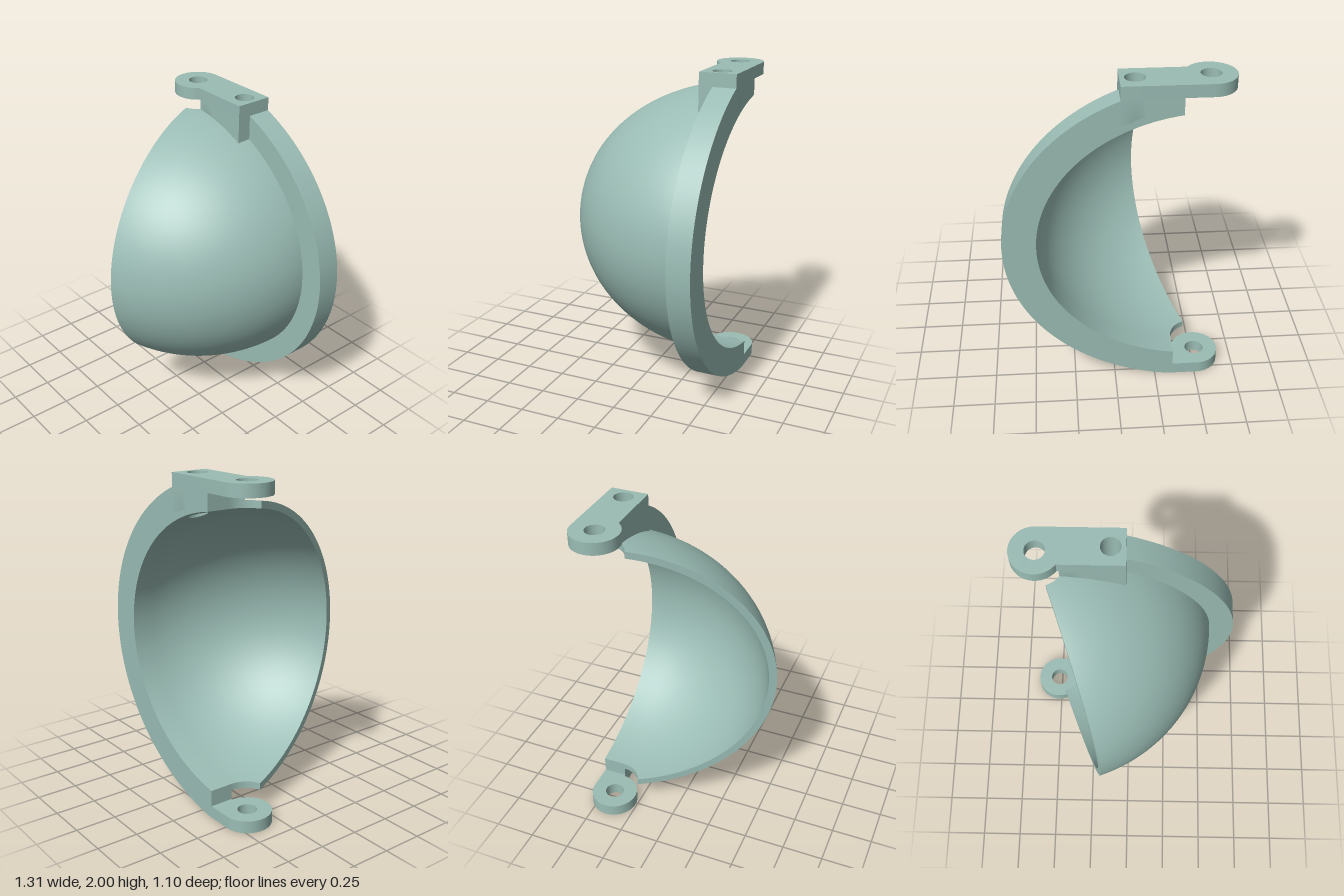
import * as THREE from 'three';
import { toCreasedNormals } from 'three/addons/utils/BufferGeometryUtils.js';

const HX = -0.51, HZ = -0.405;            // vertical hinge axis
const BACK = -0.55, CLEAR = 0.15;         // back plane, clearance radius round the hinge
const OUT = { a: 1.015, b: 0.877 }, INN = { a: 0.967, b: 0.835 };
const PIN = { x: -0.105, z: -0.435, r: 0.058 };

// height of the dome above mid level at a distance from the axis
const rise = (e, r) => e.b * Math.sqrt(Math.max(0, 1 - (r / e.a) ** 2));

// ellipsoidal shell segment, running straight back behind the hinge axis
function shellGeometry() {
  const straight = 8, sweep = 48, rows = 120, cols = straight + sweep;
  const vMax = Math.acos(CLEAR / OUT.a), angle = 70 * Math.PI / 180;
  const n = (cols + 1) * (rows + 1);
  const pos = [], inHole = [];
  for (const e of [OUT, INN]) {
    for (let i = 0; i <= cols; i++) {
      const th = Math.max(0, i - straight) / sweep * angle;
      const dz = Math.max(0, straight - i) / straight * (BACK - HZ);
      for (let j = 0; j <= rows; j++) {
        const v = (2 * j / rows - 1) * vMax, c = Math.cos(v);
        const r = e === OUT ? OUT.a * c : OUT.a * c - (OUT.a - INN.a) * c ** 3;
        let x = HX + r * Math.cos(th), z = HZ + r * Math.sin(th) + dz;
        // push points inside the pin hole out to its rim
        const dx = x - PIN.x, dp = z - PIN.z, d = Math.hypot(dx, dp);
        const inside = v > 0 && d < PIN.r;
        if (inside) {
          x = PIN.x + dx / (d || 1) * PIN.r;
          z = PIN.z + dp / (d || 1) * PIN.r;
        }
        if (e === OUT) inHole.push(inside);
        const rr = inside ? Math.hypot(x - HX, Math.max(0, z - HZ)) : r;
        pos.push(x, 1 + Math.sign(v) * rise(e, rr), z);
      }
    }
  }
  const index = [], edges = new Set();
  const quad = (a, b, c, d) => index.push(a, b, c, a, c, d);
  for (let i = 0; i < cols; i++) for (let j = 0; j < rows; j++) {
    const a = i * (rows + 1) + j, q = [a, a + 1, a + rows + 2, a + rows + 1];
    if (q.every(k => inHole[k])) continue;
    quad(...q);
    quad(q[3] + n, q[2] + n, q[1] + n, q[0] + n);
    q.forEach((k, m) => edges.add(k * n + q[(m + 1) % 4]));
  }
  // close every open edge between the outer and inner skins
  for (const key of edges) {
    const a = Math.floor(key / n), b = key % n;
    if (!edges.has(b * n + a)) quad(b, a, a + n, b + n);
  }
  const g = new THREE.BufferGeometry();
  g.setAttribute('position', new THREE.Float32BufferAttribute(pos, 3));
  g.setIndex(index);
  return toCreasedNormals(g, 0.6);
}

// plan outline (x, -z) raised from y0 to y1
function plan(shape, y0, y1) {
  const g = new THREE.ExtrudeGeometry(shape, { depth: y1 - y0, bevelEnabled: false, curveSegments: 24 });
  g.rotateX(-Math.PI / 2);
  g.translate(0, y0, 0);
  return g;
}

function hole(shape, x, z, r) {
  shape.holes.push(new THREE.Path().absarc(x, -z, r, 0, Math.PI * 2, true));
}

// half-ring flange at the back of the shell
function flangeGeometry() {
  const pts = [], steps = 72;
  const arc = (a, b, x0, x1) => {
    const t0 = -Math.acos(x0 / a), t1 = Math.acos(x1 / a), list = [];
    for (let k = 0; k <= steps; k++) {
      const t = t0 + (t1 - t0) * k / steps;
      list.push(new THREE.Vector2(HX + a * Math.cos(t),
        THREE.MathUtils.clamp(1 + b * Math.sin(t), 0, 2)));
    }
    return list;
  };
  pts.push(...arc(1.165, 1.012, CLEAR, 0.49), ...arc(1.0, 0.865, CLEAR, 0.49).reverse());
  const g = new THREE.ExtrudeGeometry(new THREE.Shape(pts), { depth: HZ - BACK, bevelEnabled: false });
  g.translate(0, 0, BACK);
  return g;
}

// block standing on the shell, its underside following the dome
function blockGeometry() {
  const pts = [], seg = 12;
  const line = (x0, y0, x1, y1) => {
    for (let k = 0; k < seg; k++)
      pts.push(new THREE.Vector2(x0 + (x1 - x0) * k / seg, y0 + (y1 - y0) * k / seg));
  };
  const t0 = -Math.asin(0.085 / CLEAR), cx = HX + CLEAR * Math.cos(t0);
  line(-0.02, 0.55, HX + CLEAR, 0.55);
  line(HX + CLEAR, 0.55, HX + CLEAR, -HZ);
  for (let k = 0; k < seg; k++) {
    const t = t0 * k / seg;
    pts.push(new THREE.Vector2(HX + CLEAR * Math.cos(t), -HZ + CLEAR * Math.sin(t)));
  }
  line(cx, 0.32, -0.02, 0.32);
  line(-0.02, 0.32, -0.02, 0.55);
  const shape = new THREE.Shape(pts);
  hole(shape, PIN.x, PIN.z, PIN.r);
  const g = plan(shape, 1.5, 1.925), p = g.attributes.position;
  for (let i = 0; i < p.count; i++) {
    if (p.getY(i) > 1.6) continue;
    const r = Math.hypot(p.getX(i) - HX, Math.max(0, p.getZ(i) - HZ));
    p.setY(i, 1 + rise(OUT, r) - 0.008);
  }
  g.computeVertexNormals();
  return g;
}

// rounded hinge lug, extended to x = end with its front edge at depth f
function lugShape(end, f, endAngle, joinX) {
  const s = new THREE.Shape();
  s.moveTo(end, 0.55);
  s.lineTo(HX - 0.005, 0.55);
  s.absarc(HX - 0.005, -HZ, 0.145, Math.PI / 2, endAngle, false);
  s.lineTo(joinX, f);
  s.lineTo(end, f);
  s.closePath();
  hole(s, HX - 0.005, HZ, 0.058);
  return s;
}

export function createModel() {
  const group = new THREE.Group();
  const sage = new THREE.MeshStandardMaterial({ color: 0x9abcb4 });
  sage.name = 'sage green';
  const add = (name, geometry) => {
    const m = new THREE.Mesh(geometry, sage);
    m.name = name;
    group.add(m);
  };

  add('shell', shellGeometry());
  add('flange', toCreasedNormals(flangeGeometry(), 0.5));
  add('topBlock', toCreasedNormals(blockGeometry(), 0.5));

  const top = lugShape(-0.02, 0.32, Math.PI * 2 - 0.62, -0.39);
  hole(top, PIN.x, PIN.z, PIN.r);
  add('topHingePlate', toCreasedNormals(plan(top, 1.925, 2), 0.5));

  const bottom = lugShape(-0.355, -HZ, Math.PI * 2, -0.36);
  add('bottomHingeLug', toCreasedNormals(plan(bottom, 0, 0.075), 0.5));
  return group;
}
